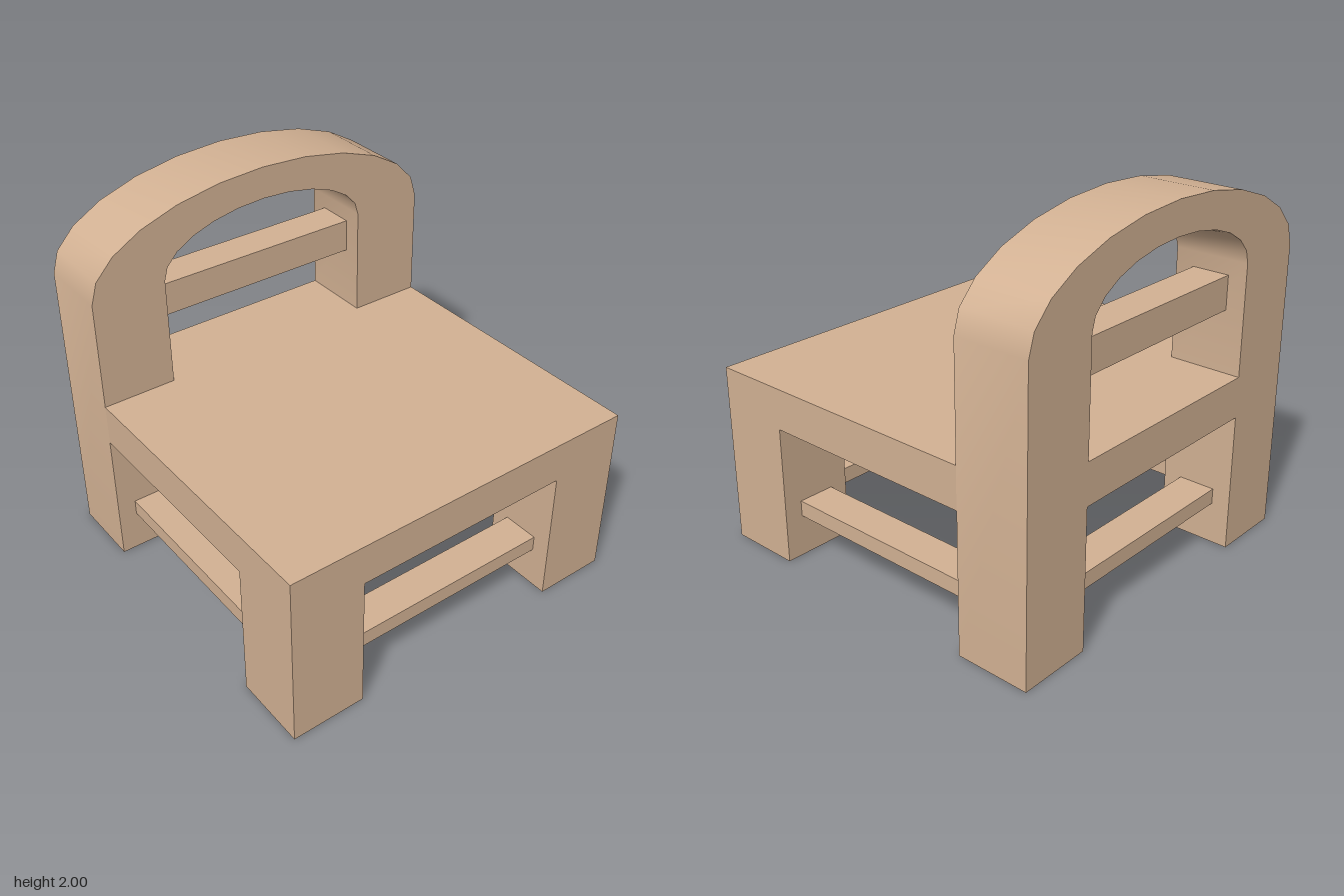
import * as THREE from 'three';
import { toCreasedNormals } from 'three/addons/utils/BufferGeometryUtils.js';

const wood = new THREE.MeshStandardMaterial({ color: 0xd2b193 });
const LEG = 0.4, INNER = 0.6, SEAT_BOTTOM = 0.75, SEAT_TOP = 0.97, SPRING = 1.56;

// Points of a half ellipse from +x over the top to -x
function arch(rx, ry, segments = 12) {
  return Array.from({ length: segments + 1 }, (_, i) => {
    const a = (Math.PI * i) / segments;
    return new THREE.Vector2(rx * Math.cos(a), SPRING + ry * Math.sin(a));
  });
}

// Box given by its lower and upper corners
function box(name, x0, x1, y0, y1, z0, z1) {
  const mesh = new THREE.Mesh(new THREE.BoxGeometry(x1 - x0, y1 - y0, z1 - z0), wood);
  mesh.position.set((x0 + x1) / 2, (y0 + y1) / 2, (z0 + z1) / 2);
  mesh.name = name;
  return mesh;
}

// Arched back with its rear legs and seat rail in one piece
function backFrame() {
  const v = (x, y) => new THREE.Vector2(x, y);
  const outline = new THREE.Shape([
    v(-1, 0), v(-INNER, 0), v(-INNER, SEAT_BOTTOM), v(INNER, SEAT_BOTTOM),
    v(INNER, 0), v(1, 0), ...arch(1, 0.44),
  ]);
  outline.holes.push(new THREE.Path([
    v(-INNER, SEAT_TOP), v(INNER, SEAT_TOP), ...arch(INNER, 0.27),
  ]));
  const geometry = new THREE.ExtrudeGeometry(outline, { depth: LEG, bevelEnabled: false });
  const mesh = new THREE.Mesh(toCreasedNormals(geometry, 0.6), wood);
  mesh.position.z = -1;
  mesh.name = 'archedBack';
  return mesh;
}

export function createModel() {
  const chair = new THREE.Group();
  chair.name = 'chair';

  chair.add(backFrame());
  chair.add(box('seat', -1, 1, SEAT_BOTTOM, SEAT_TOP, -INNER, 1));
  chair.add(box('backSlat', -INNER, INNER, 1.3, 1.48, -0.9, -0.7));

  // Front legs and side stretchers
  for (const [side, outer] of [['left', 1], ['right', -1]]) {
    const span = (a, b) => [Math.min(a * outer, b * outer), Math.max(a * outer, b * outer)];
    chair.add(box(`${side}FrontLeg`, ...span(INNER, 1), 0, SEAT_BOTTOM, INNER, 1));
    chair.add(box(`${side}Stretcher`, ...span(0.7, 0.9), 0.225, 0.31, -INNER, INNER));
  }

  // Front and rear stretchers
  chair.add(box('frontStretcher', -INNER, INNER, 0.225, 0.31, 0.7, 0.9));
  chair.add(box('rearStretcher', -INNER, INNER, 0.225, 0.31, -0.9, -0.7));

  return chair;
}
